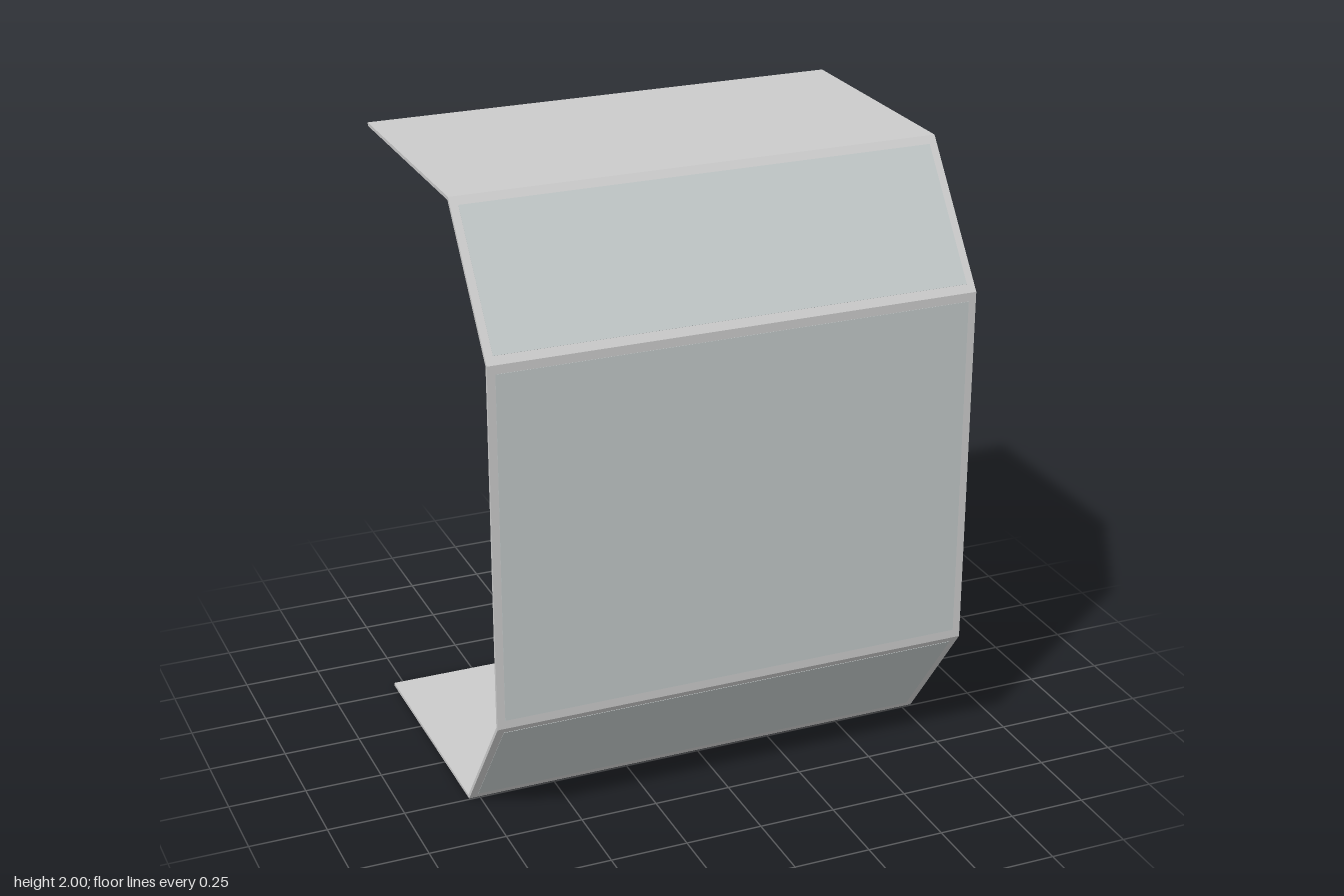
import * as THREE from 'three';

const WIDTH = 1.57, THICK = 0.011, MARGIN = 0.028;

// Outer profile as (z, y), from the bottom back edge round to the top back edge
const outer = [
  [-0.55, 0], [0.245, 0], [0.55, 0.41], [0.55, 1.59], [0.245, 2], [-0.55, 2],
].map(([z, y]) => new THREE.Vector2(z, y));

// Inward normal of the profile segment that starts at point i
function inward(i) {
  const d = outer[i + 1].clone().sub(outer[i]).normalize();
  return new THREE.Vector2(-d.y, d.x);
}

// Profile offset inward with mitred corners
function innerProfile() {
  const last = outer.length - 1;
  return outer.map((p, i) => {
    const a = inward(Math.max(i - 1, 0)), b = inward(Math.min(i, last - 1));
    const m = a.clone().add(b).normalize();
    return p.clone().addScaledVector(m, THICK / m.dot(a));
  });
}

export function createModel() {
  const group = new THREE.Group();
  const shellMat = new THREE.MeshStandardMaterial({ color: 0xcccccc });
  const paneMat = new THREE.MeshStandardMaterial({ color: 0xc0c7c7 });

  // Bent sheet: roof, two slopes, front wall and floor
  const shape = new THREE.Shape([...outer, ...innerProfile().reverse()]);
  const shellGeo = new THREE.ExtrudeGeometry(shape, { depth: WIDTH, bevelEnabled: false });
  shellGeo.translate(0, 0, -WIDTH / 2).rotateY(-Math.PI / 2);
  const shell = new THREE.Mesh(shellGeo, shellMat);
  shell.name = 'shell';
  group.add(shell);

  // Tinted panes showing on both faces of the slopes and the front wall
  ['lowerPane', 'frontPane', 'upperPane'].forEach((name, k) => {
    const a = outer[k + 1], b = outer[k + 2];
    const mid = a.clone().add(b).multiplyScalar(0.5).addScaledVector(inward(k + 1), THICK / 2);
    const pane = new THREE.Mesh(
      new THREE.BoxGeometry(WIDTH - 0.05, a.distanceTo(b) - 2 * MARGIN, THICK + 0.002), paneMat);
    pane.position.set(0, mid.y, mid.x);
    pane.rotation.x = Math.atan2(b.x - a.x, b.y - a.y);
    pane.name = name;
    group.add(pane);
  });

  return group;
}
